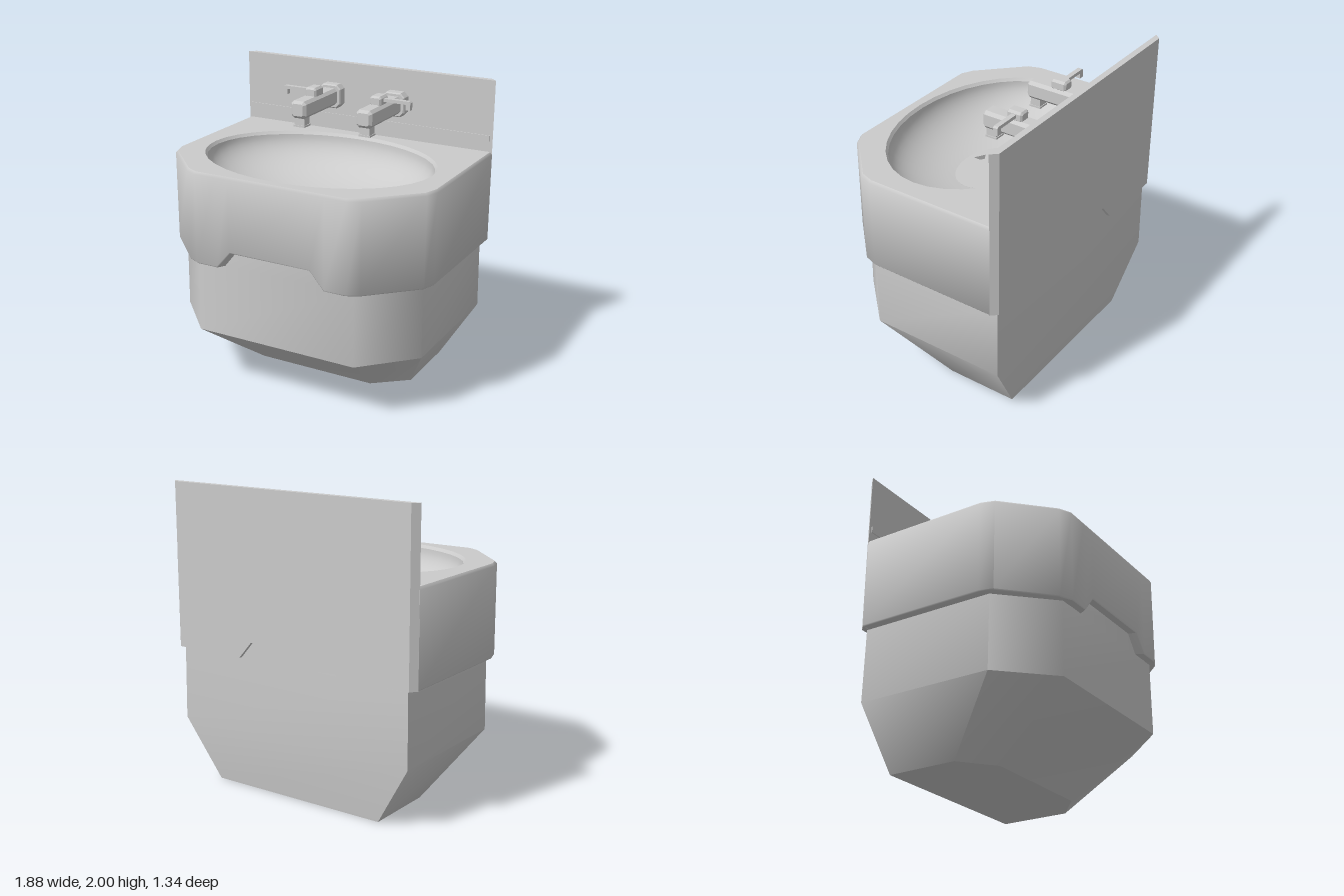
import * as THREE from 'three';
import { toCreasedNormals } from 'three/addons/utils/BufferGeometryUtils.js';

const material = new THREE.MeshStandardMaterial({ color: 0xcccccc });

function add(parent, name, geometry, x = 0, y = 0, z = 0) {
  const mesh = new THREE.Mesh(geometry, material);
  mesh.name = name;
  mesh.position.set(x, y, z);
  parent.add(mesh);
  return mesh;
}

// Skin over closed rings of [x, y, z]; rings listed upwards face outwards
function loft(rings, crease = 0.85) {
  const n = rings[0].length;
  const index = [];
  for (let r = 0; r < rings.length - 1; r++) {
    for (let i = 0; i < n; i++) {
      const a = r * n + i, b = r * n + (i + 1) % n;
      index.push(b, a, a + n, b, a + n, b + n);
    }
  }
  const g = new THREE.BufferGeometry();
  g.setAttribute('position', new THREE.Float32BufferAttribute(rings.flat(2), 3));
  g.setIndex(index);
  return toCreasedNormals(g, crease);
}

// Half outline [x, z] from back to front, mirrored to a closed loop
const mirrorLoop = half => [...half, ...half.map(([x, z]) => [-x, z]).reverse()];
const ring = (loop, y, sx = 1, sz = sx) => loop.map(([x, z]) => [x * sx, y, z * sz]);
const points2 = loop => loop.map(([x, z]) => new THREE.Vector2(x, -z));

function ellipse(rx, rz, cz, n = 36) {
  return Array.from({ length: n }, (_, i) => {
    const a = i / n * Math.PI * 2;
    return [rx * Math.cos(a), cz + rz * Math.sin(a)];
  });
}

// Bar along z with chamfered corners and softened ends
function chamferedBar(w, h, length, c, bevel) {
  const x = w / 2, y = h / 2;
  const shape = new THREE.Shape([
    [x, -y + c], [x, y - c], [x - c, y], [-x + c, y],
    [-x, y - c], [-x, -y + c], [-x + c, -y], [x - c, -y],
  ].map(p => new THREE.Vector2(...p)));
  const g = new THREE.ExtrudeGeometry(shape, {
    depth: length - 2 * bevel, bevelEnabled: true, bevelSegments: 1,
    bevelSize: bevel, bevelThickness: bevel, bevelOffset: -bevel,
  });
  return g.translate(0, 0, bevel);
}

function makeTap(side) {
  const tap = new THREE.Group();
  tap.name = side > 0 ? 'leftTap' : 'rightTap';
  tap.position.x = side * 0.243;
  add(tap, 'wallMount', chamferedBar(0.165, 0.165, 0.075, 0.03, 0.008), 0, 1.77, -0.635);
  add(tap, 'spout', chamferedBar(0.115, 0.118, 0.5, 0.02, 0.018), 0, 1.77, -0.62);
  add(tap, 'outlet', new THREE.BoxGeometry(0.075, 0.06, 0.07), 0, 1.69, -0.178);
  add(tap, 'outletLip', new THREE.BoxGeometry(0.084, 0.012, 0.08), 0, 1.656, -0.178);
  add(tap, 'knob', chamferedBar(0.084, 0.07, 0.11, 0.014, 0.012), 0, 1.85, -0.4);
  // Lever reaches outwards and turns down at its tip
  const profile = [[0, 1.846], [0.2, 1.846], [0.2, 1.81], [0.234, 1.81], [0.234, 1.858], [0.224, 1.868], [0, 1.868]];
  const lever = new THREE.Shape(profile.map(([x, y]) => new THREE.Vector2(side * x, y)));
  add(tap, 'lever', new THREE.ExtrudeGeometry(lever, { depth: 0.032, bevelEnabled: false }), 0, 0, -0.361);
  return tap;
}

export function createModel() {
  const sink = new THREE.Group();
  sink.name = 'washbasin';

  // Lower body tapering to a narrow foot
  const bodyLoop = mirrorLoop([[0.88, -0.645], [0.88, 0.29], [0.565, 0.61]]);
  const kneeLoop = mirrorLoop([[0.885, -0.65], [0.885, 0.29], [0.57, 0.612]]);
  const footLoop = mirrorLoop([[0.64, -0.595], [0.64, -0.11], [0.42, 0.07]]);
  add(sink, 'pedestal', loft([ring(footLoop, 0), ring(kneeLoop, 0.405), ring(bodyLoop, 0.9), ring(bodyLoop, 1.1)]));
  const foot = new THREE.ShapeGeometry(new THREE.Shape(points2(footLoop)));
  add(sink, 'pedestalBase', foot.rotateX(-Math.PI / 2).rotateZ(Math.PI));

  // Upper shell with a raised notch in the lower front edge
  const shellLoop = mirrorLoop([
    [0.94, -0.63], [0.94, 0.25], [0.91, 0.34], [0.62, 0.625], [0.54, 0.665], [0.39, 0.665], [0.29, 0.665],
  ]);
  const lowerEdge = (scale, lift) => shellLoop.map(([x, z]) =>
    [x * scale, (Math.abs(x) < 0.3 ? 1.015 : 0.9) + lift, z * scale]);
  const topLoop = shellLoop.map(([x, z]) => [x * 0.985, z > 0 ? z * 0.985 : z]);
  add(sink, 'shell', loft([
    lowerEdge(0.92, 0), lowerEdge(0.992, 0), lowerEdge(1, 0.008), ring(shellLoop, 1.503), ring(topLoop, 1.52),
  ]));

  // Flat counter around the oval opening
  const cz = 0.025;
  const rimLoop = ellipse(0.8, 0.575, cz);
  const counter = new THREE.Shape(points2(topLoop));
  counter.holes.push(new THREE.Path(points2(rimLoop)));
  add(sink, 'counter', new THREE.ShapeGeometry(counter).rotateX(-Math.PI / 2), 0, 1.52, 0);

  // Bowl: bevelled rim, then an oval dish down to the floor
  const rx = 0.785, rz = 0.56, steps = 14, floorR = 0.36;
  add(sink, 'bowlRim', loft([ring(rimLoop, 1.52), ring(ellipse(rx, rz, cz), 1.5)]));
  const bowlRings = [];
  for (let i = 0; i <= steps; i++) {
    const a = Math.acos(floorR) * i / steps;
    bowlRings.push(ring(ellipse(rx * Math.cos(a), rz * Math.cos(a), cz), 1.5 - 0.29 * Math.sin(a)));
  }
  add(sink, 'bowl', loft(bowlRings, 1));

  // Bowl floor pierced by drain slots
  const floorLoop = ellipse(rx * floorR, rz * floorR, cz);
  const floor = new THREE.Shape(points2(floorLoop));
  for (const side of [1, -1]) {
    for (const [x, z] of [[0.04, -0.07], [0.1, 0.035], [0.04, 0.15]]) {
      const slot = [[x, z - 0.042], [x + 0.075, z], [x, z + 0.042]].map(([u, v]) => [side * u, v]);
      floor.holes.push(new THREE.Path(points2(slot)));
    }
  }
  floor.holes.push(new THREE.Path(points2([[0.05, 0.035], [0, 0.063], [-0.05, 0.035], [0, 0.007]])));
  const floorGeometry = new THREE.ExtrudeGeometry(floor, { depth: 0.03, bevelEnabled: false });
  add(sink, 'bowlFloor', floorGeometry.rotateX(-Math.PI / 2), 0, 1.2, 0);
  const under = new THREE.ShapeGeometry(new THREE.Shape(points2(floorLoop)));
  add(sink, 'drainBottom', under.rotateX(-Math.PI / 2), 0, 1.2, 0);

  // Back panel, notched below, with its rear side edges chamfered
  const panel = new THREE.Shape([
    [-0.94, 0.9], [-0.39, 0.9], [-0.29, 1.015], [0.29, 1.015], [0.39, 0.9], [0.94, 0.9], [0.94, 2], [-0.94, 2],
  ].map(p => new THREE.Vector2(...p)));
  const panelGeometry = new THREE.ExtrudeGeometry(panel, { depth: 0.042, bevelEnabled: false });
  panelGeometry.translate(0, 0, -0.67);
  const pos = panelGeometry.attributes.position;
  for (let i = 0; i < pos.count; i++) {
    if (pos.getZ(i) < -0.65 && Math.abs(pos.getX(i)) > 0.9) pos.setX(i, Math.sign(pos.getX(i)) * 0.9);
  }
  panelGeometry.computeVertexNormals();
  add(sink, 'backPanel', panelGeometry);
  add(sink, 'panelRidge', new THREE.BoxGeometry(1.84, 0.042, 0.012), 0, 1.61, -0.628);

  sink.add(makeTap(1), makeTap(-1));
  return sink;
}
